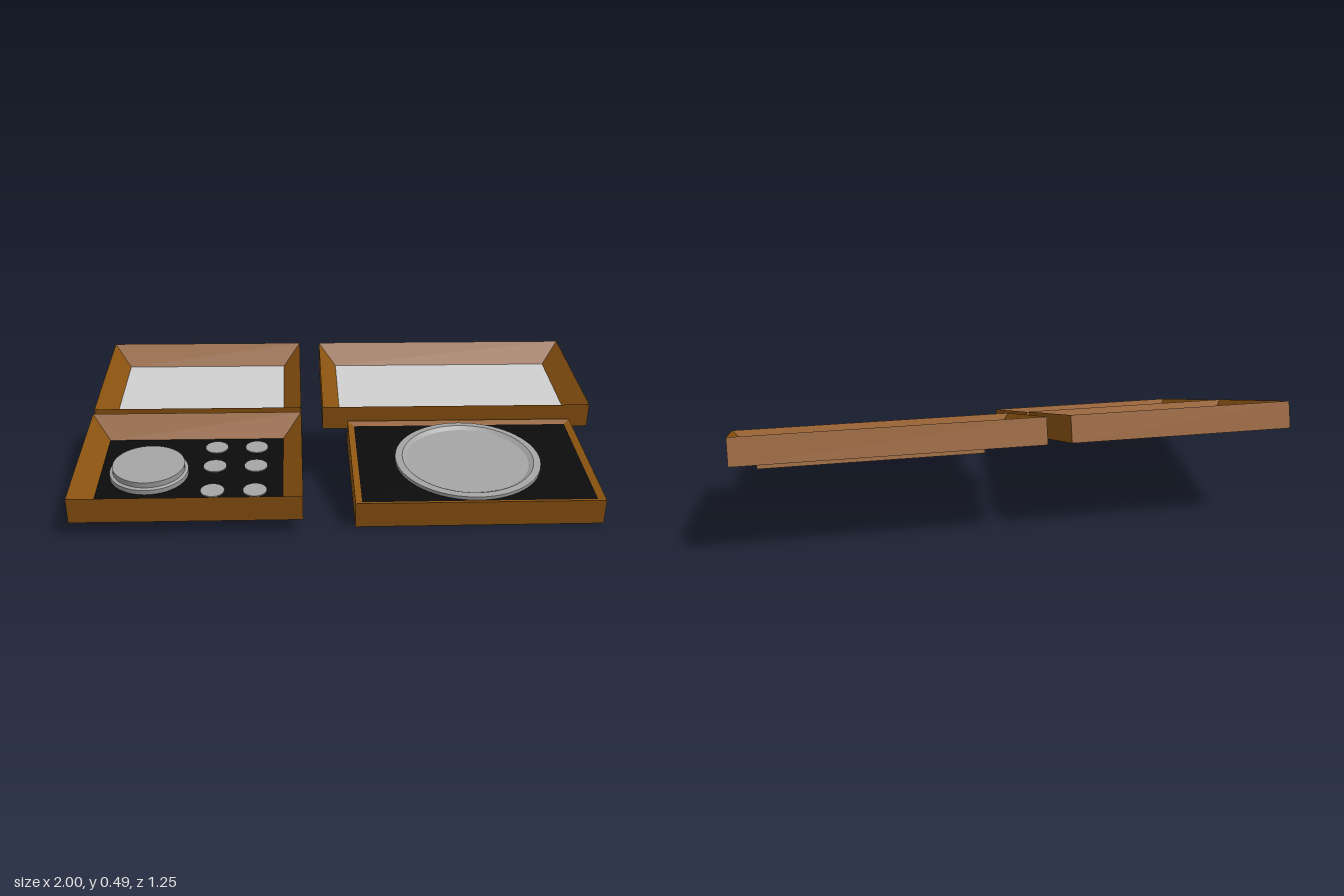
import * as THREE from 'three';

const material = (name, color, side = THREE.FrontSide) => {
  const m = new THREE.MeshStandardMaterial({ color, side });
  m.name = name;
  return m;
};

export function createModel() {
  const wood = material('brown wood', 0x8b5310);
  const black = material('black panel', 0x0a0a0a);
  const pale = material('pale grey lining', 0xcacaca);
  const metal = material('grey metal', 0xa0a0a0, THREE.DoubleSide);
  const TILT = 0.28;
  const HEIGHT = 0.099;

  const model = new THREE.Group();
  model.name = 'tiltedCases';

  const add = (parent, name, geometry, mat, x = 0, y = 0, z = 0) => {
    const mesh = new THREE.Mesh(geometry, mat);
    mesh.name = name;
    mesh.position.set(x, y, z);
    parent.add(mesh);
    return mesh;
  };

  // Open case shell: solid underside, outer walls, walls sloping in to the floor
  function shellGeometry(w, l, inset, depth) {
    const ring = (m, y) => [
      [-w / 2 + m, y, -m], [w / 2 - m, y, -m],
      [w / 2 - m, y, -l + m], [-w / 2 + m, y, -l + m]];
    const loops = [ring(0, 0), ring(0, HEIGHT), ring(inset, HEIGHT - depth)];
    const pos = [];
    const quad = (a, b, c, d) => pos.push(...a, ...b, ...c, ...a, ...c, ...d);
    for (let k = 0; k < 2; k++) {
      for (let i = 0; i < 4; i++) {
        const j = (i + 1) % 4;
        quad(loops[k][i], loops[k][j], loops[k + 1][j], loops[k + 1][i]);
      }
    }
    const [a, b, c, d] = loops[0];
    quad(d, c, b, a);
    const g = new THREE.BufferGeometry();
    g.setAttribute('position', new THREE.Float32BufferAttribute(pos, 3));
    g.computeVertexNormals();
    return g;
  }

  // Case group: its origin is the middle of the lower front edge
  function makeCase(name, x0, x1, y, z, length, inset, depth, floorMat) {
    const g = new THREE.Group();
    g.name = name;
    g.position.set((x0 + x1) / 2, y, z);
    g.rotation.x = TILT;
    const w = x1 - x0;
    add(g, name + 'Shell', shellGeometry(w, length, inset, depth), wood);
    const floor = new THREE.PlaneGeometry(w - 2 * inset, length - 2 * inset).rotateX(-Math.PI / 2);
    add(g, name + 'Floor', floor, floorMat, 0, HEIGHT - depth, -length / 2);
    model.add(g);
    return g;
  }

  // Each profile point pair becomes its own band, so edges stay sharp
  function turned(parent, name, points, x, y, z) {
    const g = new THREE.Group();
    g.name = name;
    g.position.set(x, y, z);
    for (let i = 0; i + 1 < points.length; i++) {
      const band = [points[i], points[i + 1]].map(p => new THREE.Vector2(...p));
      add(g, name + 'Band', new THREE.LatheGeometry(band, 64), metal);
    }
    parent.add(g);
  }

  // Lids at the back
  makeCase('smallLid', -1, -0.175, 0.228, -0.03, 0.62, 0.071, 0.08, pale);
  makeCase('largeLid', -0.088, 1, 0.228, -0.03, 0.62, 0.073, 0.08, pale);

  // Large tray with its dished platter
  const largeTray = makeCase('largeTray', 0.012, 0.918, 0, 0.555, 0.61, 0.025, 0.01, black);
  turned(largeTray, 'platter', [
    [0.277, 0], [0.277, 0.013], [0.25, 0.015], [0.232, 0.004], [0, 0.004]],
  0.457 - 0.465, 0.089, -0.305);

  // Small tray with its dial, buttons and the collar beneath
  const smallTray = makeCase('smallTray', -1, -0.175, 0.045, 0.6, 0.62, 0.072, 0.08, black);
  const cx = smallTray.position.x;
  const dialX = -0.747 - cx;
  turned(smallTray, 'dial', [
    [0.146, 0], [0.146, 0.018], [0.134, 0.022], [0.134, 0.043], [0, 0.043]],
  dialX, 0.019, -0.293);
  add(smallTray, 'lowerCollar',
    new THREE.CylinderGeometry(0.132, 0.132, 0.036, 64, 1, true), metal, dialX, -0.016, -0.293);
  for (const x of [-0.505, -0.35]) {
    for (const z of [-0.479, -0.339, -0.167]) {
      add(smallTray, 'button', new THREE.CylinderGeometry(0.044, 0.044, 0.004, 32),
        metal, x - cx, 0.021, z);
    }
  }

  return model;
}
